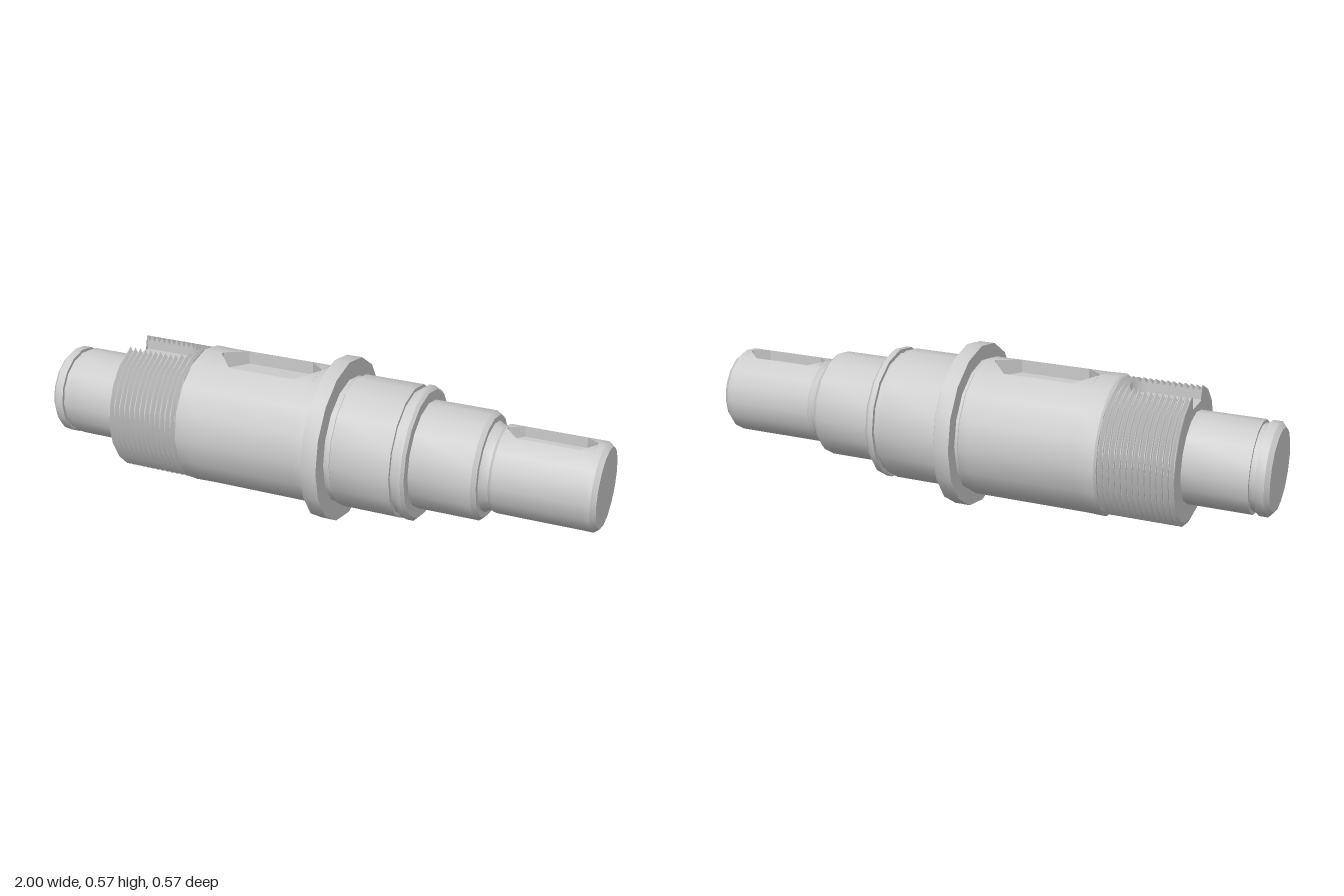
import * as THREE from 'three';
import { toCreasedNormals } from 'three/addons/utils/BufferGeometryUtils.js';

const material = new THREE.MeshStandardMaterial({ color: 0xcccccc });
const AXIS_Y = 0.285;

// Closed cross-section around the x axis; w is the keyway half width (0 = no keyway)
function section([x, r, w = 0], sides, floor) {
  const radius = typeof r === 'function' ? r : () => r;
  const top = radius(x, 0);
  const edge = Math.sqrt(top * top - w * w);
  const bottom = w > 0 ? floor : top;
  const loop = [new THREE.Vector3(x, edge, w)];
  for (let i = 1; i < sides; i++) {
    const a = (i / sides) * Math.PI * 2;
    const ra = radius(x, a);
    loop.push(new THREE.Vector3(x, ra * Math.cos(a), ra * Math.sin(a)));
  }
  loop.push(new THREE.Vector3(x, edge, -w), new THREE.Vector3(x, bottom, -w), new THREE.Vector3(x, bottom, w));
  return loop;
}

// Solid of revolution along x with an optional keyway in its top
function turned(name, stations, { sides = 16, floor = 0, crease = 0.6 } = {}) {
  const rings = stations.map((s) => section(s, sides, floor));
  const positions = [];
  const triangle = (a, b, c) => {
    const area = b.clone().sub(a).cross(c.clone().sub(a)).length();
    if (area > 1e-9) for (const p of [a, b, c]) positions.push(p.x, p.y, p.z);
  };
  const n = rings[0].length;
  const first = rings[0];
  const last = rings[rings.length - 1];
  const startCentre = new THREE.Vector3(first[0].x, 0, 0);
  const endCentre = new THREE.Vector3(last[0].x, 0, 0);
  for (let i = 0; i < n; i++) {
    const j = (i + 1) % n;
    for (let s = 0; s < rings.length - 1; s++) {
      const [p, q] = [rings[s], rings[s + 1]];
      triangle(p[i], p[j], q[j]);
      triangle(p[i], q[j], q[i]);
    }
    triangle(startCentre, first[j], first[i]);
    triangle(endCentre, last[i], last[j]);
  }
  const geometry = new THREE.BufferGeometry();
  geometry.setAttribute('position', new THREE.Float32BufferAttribute(positions, 3));
  const mesh = new THREE.Mesh(toCreasedNormals(geometry, crease), material);
  mesh.name = name;
  return mesh;
}

// Stations of a closed keyway with pointed ends
function keyway(x0, x1, r, w, tip) {
  return [
    [x0, r], [x0, r, 0.006], [x0 + tip, r, w],
    [x1 - tip, r, w], [x1, r, 0.006], [x1, r],
  ];
}

// Helical thread with a slot open to the left and rounded at the right
function thread() {
  const [x0, x1, pitch, slotEnd, w] = [-0.715, -0.455, 0.02, -0.485, 0.058];
  const radius = (x, a) => {
    const t = (x - x0) / pitch - a / (Math.PI * 2);
    return 0.218 + 0.04 * Math.abs(t - Math.floor(t) - 0.5);
  };
  const stations = [];
  const steps = 104;
  for (let i = 0; i <= steps; i++) {
    const x = x0 + ((x1 - x0) * i) / steps;
    const d = slotEnd - x;
    const half = d <= 0.001 ? 0 : d >= w ? w : Math.sqrt(w * w - (w - d) ** 2);
    stations.push([x, radius, half]);
  }
  return turned('thread', stations, { sides: 20, floor: 0.18, crease: 0.4 });
}

export function createModel() {
  const group = new THREE.Group();
  group.name = 'steppedShaft';
  const shaft = new THREE.Group();
  shaft.name = 'shaft';
  shaft.position.y = AXIS_Y;
  group.add(shaft);

  shaft.add(
    // Left journal with chamfer and retaining ring groove
    turned('leftJournal', [
      [-1, 0.14], [-0.985, 0.157], [-0.955, 0.157], [-0.955, 0.146],
      [-0.935, 0.146], [-0.935, 0.157], [-0.71, 0.157],
    ]),
    thread(),
    // Main body with the large keyway
    turned('mainBody', [
      [-0.455, 0.235], [-0.448, 0.242],
      ...keyway(-0.38, -0.005, 0.24, 0.08, 0.065),
      [0.03, 0.24], [0.035, 0.234], [0.05, 0.234],
    ], { floor: 0.18 }),
    // Locating flange
    turned('flange', [[0.045, 0.285], [0.1, 0.285]]),
    // Bearing seat with a groove near its shoulder
    turned('bearingSeat', [
      [0.095, 0.222], [0.12, 0.222], [0.125, 0.23], [0.335, 0.23], [0.335, 0.218],
      [0.355, 0.218], [0.355, 0.232], [0.375, 0.232], [0.385, 0.222],
    ]),
    // Intermediate step
    turned('sealSeat', [[0.38, 0.186], [0.6, 0.186], [0.615, 0.174]]),
    // Output end with undercut, chamfer and small keyway
    turned('outputEnd', [
      [0.61, 0.158], [0.63, 0.146], [0.645, 0.143], [0.655, 0.15],
      ...keyway(0.66, 0.96, 0.15, 0.049, 0.045),
      [0.983, 0.15], [1, 0.136],
    ], { floor: 0.105 }),
  );
  return group;
}
